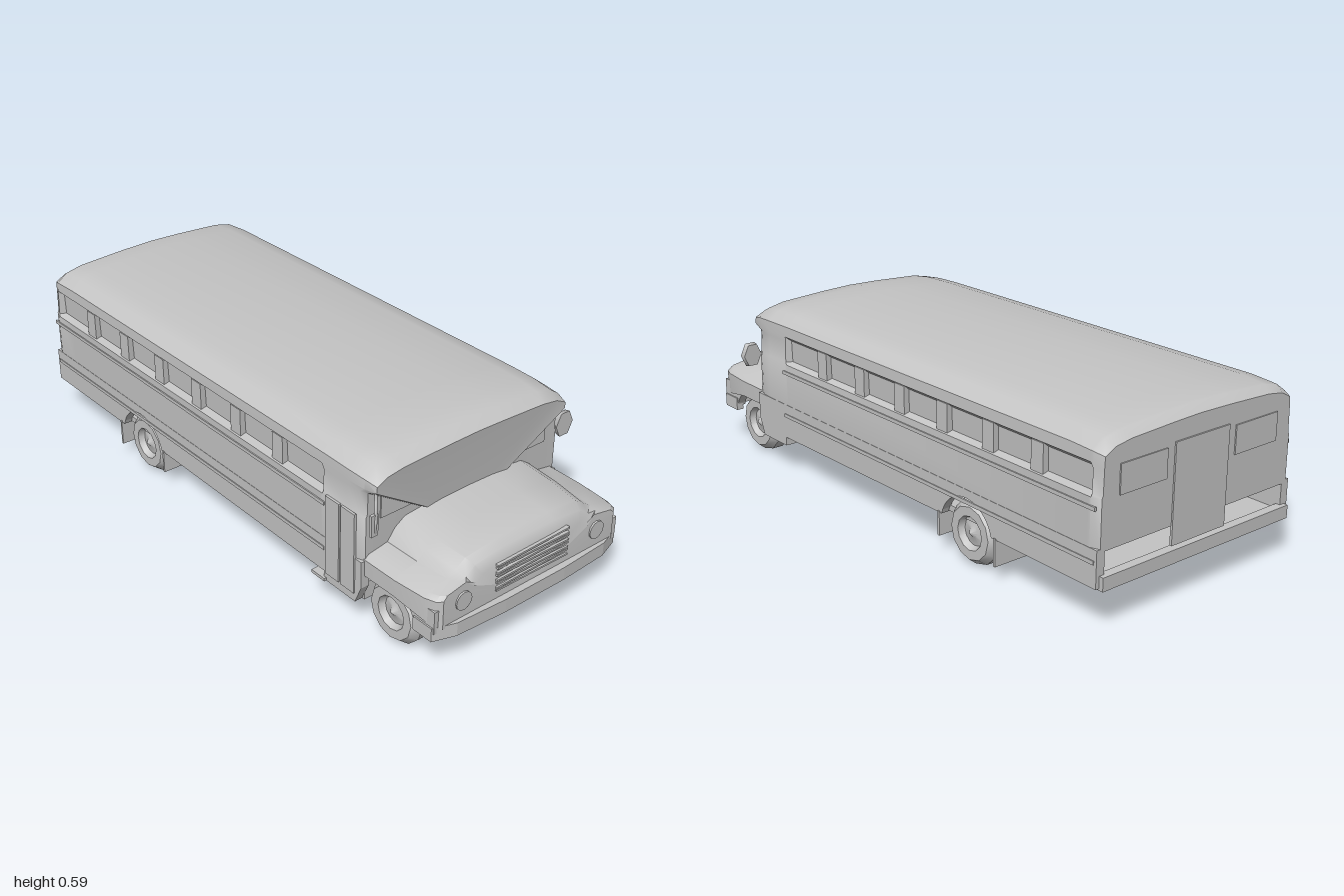
import * as THREE from 'three';
import { toCreasedNormals } from 'three/addons/utils/BufferGeometryUtils.js';

const paint = new THREE.MeshStandardMaterial({ color: 0xc4c4c4, side: THREE.DoubleSide });
paint.name = 'plain grey';

// Skins half-profiles [z, y] (bottom edge to roof centre) placed at successive x, mirrored in z
function loft(stations, crease = 0.6) {
  const pos = [], idx = [];
  const n = stations[0].length * 2 - 1;
  for (const half of stations) {
    const other = half.slice(0, -1).reverse().map(([x, y, z]) => [x, y, -z]);
    for (const p of [...half, ...other]) pos.push(...p);
  }
  for (let i = 0; i < stations.length - 1; i++) {
    for (let j = 0; j < n - 1; j++) {
      const a = i * n + j, b = a + n;
      idx.push(a, b, a + 1, a + 1, b, b + 1);
    }
  }
  // fan caps at both ends
  const last = (stations.length - 1) * n, c = pos.length / 3;
  for (const s of [stations[0], stations[stations.length - 1]]) pos.push(s[0][0], s[0][1], 0);
  for (let j = 0; j < n - 1; j++) {
    idx.push(c, j, j + 1, c + 1, last + j + 1, last + j);
  }
  const g = new THREE.BufferGeometry();
  g.setAttribute('position', new THREE.Float32BufferAttribute(pos, 3));
  g.setIndex(idx);
  return toCreasedNormals(g, crease);
}

export function createModel() {
  const model = new THREE.Group();
  model.name = 'schoolBus';
  const bus = new THREE.Group();
  bus.name = 'bus';
  bus.position.z = 0.022;
  model.add(bus);

  const add = (name, geo, x = 0, y = 0, z = 0) => {
    const m = new THREE.Mesh(geo, paint);
    m.name = name;
    m.position.set(x, y, z);
    bus.add(m);
    return m;
  };
  const box = (name, x0, x1, y0, y1, z0, z1) => add(name,
    new THREE.BoxGeometry(x1 - x0, y1 - y0, Math.abs(z1 - z0)),
    (x0 + x1) / 2, (y0 + y1) / 2, (z0 + z1) / 2);

  // Passenger body: recessed window band, rounded roof ends
  const bodyStation = (x, inset, drop, narrow = 0, visor = 0) => [
    [0.396, 0.24], [0.396, 0.395], [0.392 - 0.022 * inset, 0.402],
    [0.39 - 0.018 * inset, 0.475], [0.39, 0.49], [0.388, 0.525], [0.35, 0.556],
    [0.29, 0.571], [0.12, 0.582], [0, 0.586],
  ].map(([z, y]) => [x + (y > 0.48 ? visor : 0),
    y - drop * Math.max(0, (y - 0.49) / 0.096), z - narrow]);
  add('body', loft([
    bodyStation(-0.985, 0, 0.035, 0.012), bodyStation(-0.955, 0, 0.012),
    bodyStation(-0.945, 1, 0.01), bodyStation(-0.86, 1, 0), bodyStation(0.51, 1, 0),
    bodyStation(0.52, 0, 0), bodyStation(0.62, 0, 0.004),
    bodyStation(0.67, 0, 0.014, 0.004, 0.02), bodyStation(0.695, 0, 0.04, 0.014, 0.035),
  ]));

  // Bonnet with shoulders over the front wheels
  const noseStation = (x, top, w, low, lean) => [
    [w, low], [w, 0.255], [w - 0.015, 0.268], [w - 0.085, 0.28],
    [w - 0.115, top - 0.035], [w - 0.15, top - 0.012], [0.1, top], [0, top + 0.002],
  ].map(([z, y]) => [x - lean * Math.max(0, (y - 0.25) / 0.08), y, z]);
  add('bonnet', loft([
    noseStation(0.68, 0.355, 0.385, 0.2, 0), noseStation(0.82, 0.344, 0.384, 0.2, 0),
    noseStation(0.93, 0.333, 0.374, 0.18, 0), noseStation(0.965, 0.318, 0.362, 0.16, 0.01),
    noseStation(0.978, 0.29, 0.345, 0.16, 0.01),
  ]));

  // Side skirts with wheel arches
  const rear = new THREE.Shape();
  rear.moveTo(-0.985, 0.135);
  rear.lineTo(-0.555, 0.135);
  rear.absarc(-0.44, 0.105, 0.118, Math.PI - 0.26, 0.26, true);
  rear.lineTo(0.53, 0.13);
  rear.lineTo(0.53, 0.1);
  rear.lineTo(0.67, 0.1);
  rear.lineTo(0.695, 0.16);
  rear.lineTo(0.695, 0.25);
  rear.lineTo(-0.985, 0.25);
  const front = new THREE.Shape();
  front.moveTo(0.97, 0.15);
  front.lineTo(0.97, 0.225);
  front.lineTo(0.69, 0.225);
  front.lineTo(0.69, 0.185);
  front.absarc(0.78, 0.105, 0.118, 2.4, 0.3, true);
  const plate = (shape, depth) => new THREE.ExtrudeGeometry(shape,
    { depth, bevelEnabled: false, curveSegments: 10 });

  for (const s of [1, -1]) {
    const side = s > 0 ? 'right' : 'left';
    add(side + 'Skirt', plate(rear, 0.03), 0, 0, s > 0 ? 0.367 : -0.397);
    add(side + 'FrontFender', plate(front, 0.03), 0, 0, s > 0 ? 0.34 : -0.37);

    // Rub rails and window pillars
    for (const y of [0.205, 0.36]) {
      box(side + 'RubRail', -0.975, 0.53, y, y + 0.012, s * 0.394, s * 0.4);
    }
    for (let i = 1; i < 7; i++) {
      const x = -0.945 + i * 0.208;
      box(side + 'WindowPillar', x - 0.025, x + 0.025, 0.396, 0.487, s * 0.35, s * 0.39);
    }

    // Wheels: paired at the rear, single at the front
    for (const [name, x, z, width] of [
      ['RearWheel', -0.44, 0.288, 0.19], ['FrontWheel', 0.78, 0.312, 0.09]]) {
      const tire = new THREE.LatheGeometry([
        [0, -width / 2], [0.085, -width / 2], [0.105, -width / 2 + 0.025],
        [0.105, width / 2 - 0.025], [0.085, width / 2], [0.055, width / 2],
        [0.045, width / 2 - 0.02], [0.018, width / 2 - 0.015], [0, width / 2],
      ].map(([r, y]) => new THREE.Vector2(r, y)), 12);
      add(side + name, toCreasedNormals(tire, 0.6), x, 0.105, s * z).rotation.x = s * Math.PI / 2;
    }

    // Mud flaps
    box(side + 'MudFlap', -0.576, -0.568, 0.05, 0.14, s * 0.23, s * 0.4);
    box(side + 'ForwardFlap', -0.318, -0.31, 0.06, 0.14, s * 0.3, s * 0.4);

    // Headlight, windscreen pane and rear window
    const lamp = add(side + 'Headlight', new THREE.CylinderGeometry(0.03, 0.03, 0.012, 12),
      0.976, 0.225, s * 0.27);
    lamp.rotation.z = -Math.PI / 2;
    box(side + 'Windscreen', 0.692, 0.699, 0.375, 0.465, s * 0.02, s * 0.33);
    box(side + 'RearWindow', -0.989, -0.982, 0.39, 0.48, s * 0.14, s * 0.32);
  }

  // Entry door and its step
  box('doorPanel', 0.54, 0.6, 0.13, 0.4, 0.394, 0.402);
  box('doorPanel', 0.608, 0.668, 0.13, 0.4, 0.394, 0.402);
  box('doorStep', 0.48, 0.54, 0.1, 0.11, 0.36, 0.405);
  box('emergencyDoor', -0.99, -0.982, 0.18, 0.49, -0.11, 0.11);

  // Floor, cowl base, engine bay and axles
  box('floor', -0.98, 0.68, 0.138, 0.158, -0.37, 0.37);
  box('cowlBase', 0.53, 0.68, 0.1, 0.14, -0.37, 0.37);
  box('engineBay', 0.68, 0.96, 0.13, 0.24, -0.24, 0.24);
  for (const [name, x, r] of [['rearAxle', -0.44, 0.022], ['frontAxle', 0.78, 0.018]]) {
    add(name, new THREE.CylinderGeometry(r, r, 0.56, 8), x, 0.105, 0).rotation.x = Math.PI / 2;
  }
  const differential = add('differential', new THREE.SphereGeometry(0.045, 10, 8), -0.44, 0.108, 0);
  differential.scale.z = 1.3;

  // Bumpers
  const bumper = new THREE.Shape([
    [0.89, -0.375], [0.965, -0.375], [0.99, -0.3], [1, -0.12], [1, 0.12], [0.99, 0.3],
    [0.965, 0.375], [0.89, 0.375], [0.89, 0.35], [0.95, 0.33], [0.95, -0.33], [0.89, -0.35],
  ].map(([x, z]) => new THREE.Vector2(x, z)));
  add('frontBumper', plate(bumper, 0.045), 0, 0.17, 0).rotation.x = Math.PI / 2;
  box('rearBumper', -1, -0.97, 0.13, 0.172, -0.385, 0.385);

  // Grille slats
  for (let i = 0; i < 8; i++) {
    const y = 0.196 + i * 0.0125;
    const slat = box('grilleSlat', 0.965, 0.983, y, y + 0.006, -0.145, 0.145);
    slat.rotation.x = (i % 2 ? 1 : -1) * 0.015;
  }

  // Wing mirrors
  box('leftMirrorArm', 0.676, 0.686, 0.39, 0.4, -0.41, -0.38);
  const mirror = add('leftMirror', new THREE.CylinderGeometry(0.046, 0.042, 0.018, 6),
    0.682, 0.397, -0.427);
  mirror.rotation.z = -Math.PI / 2;
  mirror.scale.z = 0.8;
  const arm = new THREE.CatmullRomCurve3([
    [0.71, 0.47, 0.36], [0.738, 0.465, 0.385], [0.75, 0.42, 0.395], [0.745, 0.37, 0.395],
  ].map((p) => new THREE.Vector3(...p)));
  add('rightMirrorArm', new THREE.TubeGeometry(arm, 8, 0.005, 5));
  box('rightMirror', 0.74, 0.75, 0.37, 0.44, 0.385, 0.41);

  return model;
}
